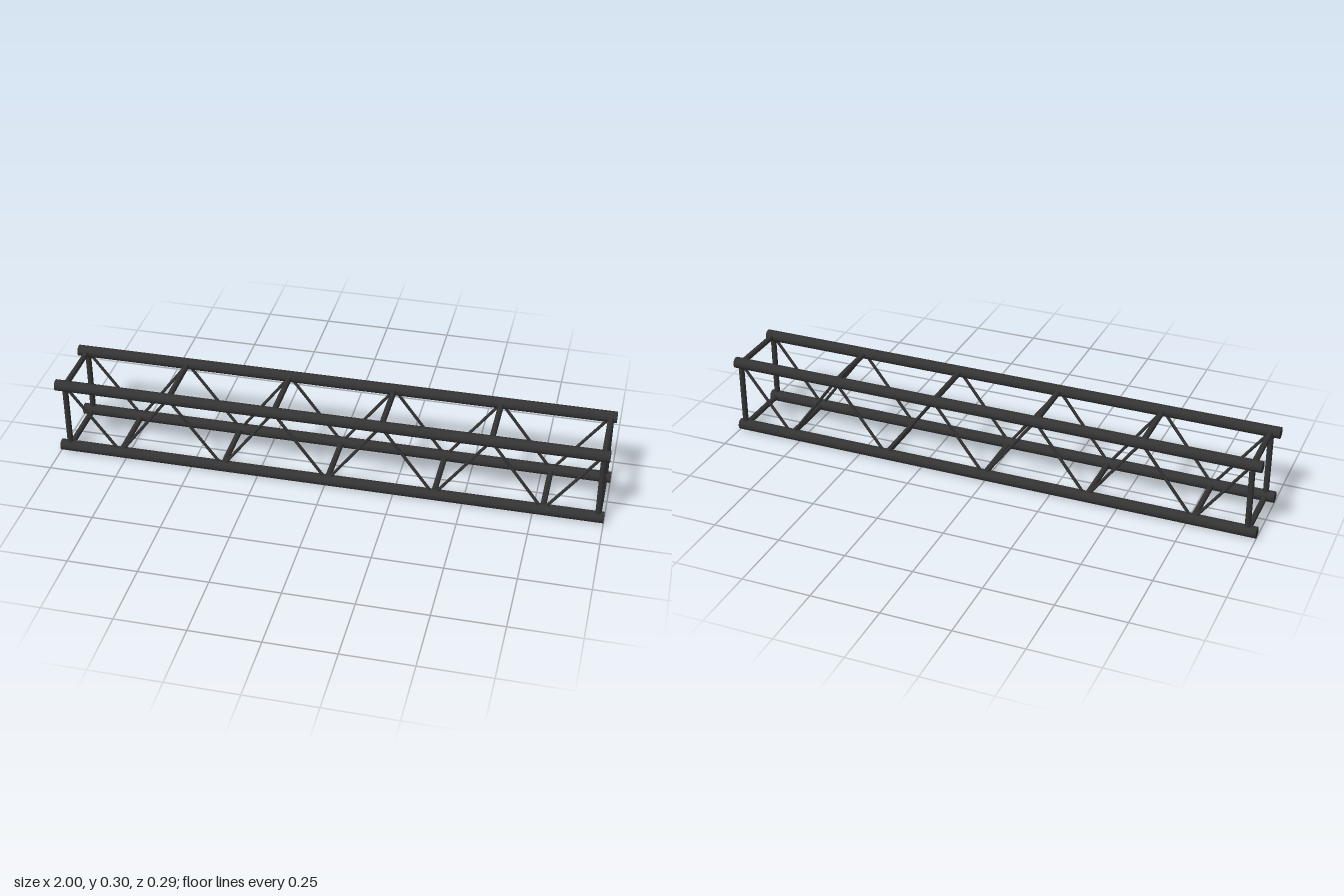
import * as THREE from 'three';

export function createModel() {
  const truss = new THREE.Group();
  truss.name = 'boxTruss';
  const material = new THREE.MeshStandardMaterial({ color: 0x333333 });
  const LOW = 0.022, HIGH = 0.282, SIDE = 0.123;
  const START = -0.966, BAY = 0.1945, BAYS = 10;
  const UP = new THREE.Vector3(0, 1, 0);

  // Round tube between two points
  function tube(name, a, b, radius, sides) {
    const from = new THREE.Vector3(...a), to = new THREE.Vector3(...b);
    const dir = to.clone().sub(from);
    const mesh = new THREE.Mesh(
      new THREE.CylinderGeometry(radius, radius, dir.length(), sides), material);
    mesh.position.copy(from).add(to).multiplyScalar(0.5);
    mesh.quaternion.setFromUnitVectors(UP, dir.normalize());
    mesh.name = name;
    truss.add(mesh);
  }

  const nodeX = (i) => START + i * BAY;
  const nodeY = (i) => (i % 2 ? LOW : HIGH);

  for (const z of [-SIDE, SIDE]) {
    // Long main chords
    for (const y of [LOW, HIGH]) tube('chord', [-1, y, z], [1, y, z], 0.0205, 24);
    // Upright posts at both ends
    for (const i of [0, BAYS]) tube('endPost', [nodeX(i), LOW, z], [nodeX(i), HIGH, z], 0.0105, 16);
    // Zigzag bracing along the side
    for (let i = 0; i < BAYS; i++) {
      tube('diagonalBrace', [nodeX(i), nodeY(i), z], [nodeX(i + 1), nodeY(i + 1), z], 0.0055, 12);
    }
  }

  // Cross bars at each zigzag node, alternating top and bottom
  for (let i = 0; i <= BAYS; i++) {
    tube('crossBar', [nodeX(i), nodeY(i), -SIDE], [nodeX(i), nodeY(i), SIDE], 0.0105, 16);
  }
  // Lower cross bars closing the end frames
  for (const i of [0, BAYS]) {
    tube('endCrossBar', [nodeX(i), LOW, -SIDE], [nodeX(i), LOW, SIDE], 0.0105, 16);
  }
  return truss;
}
